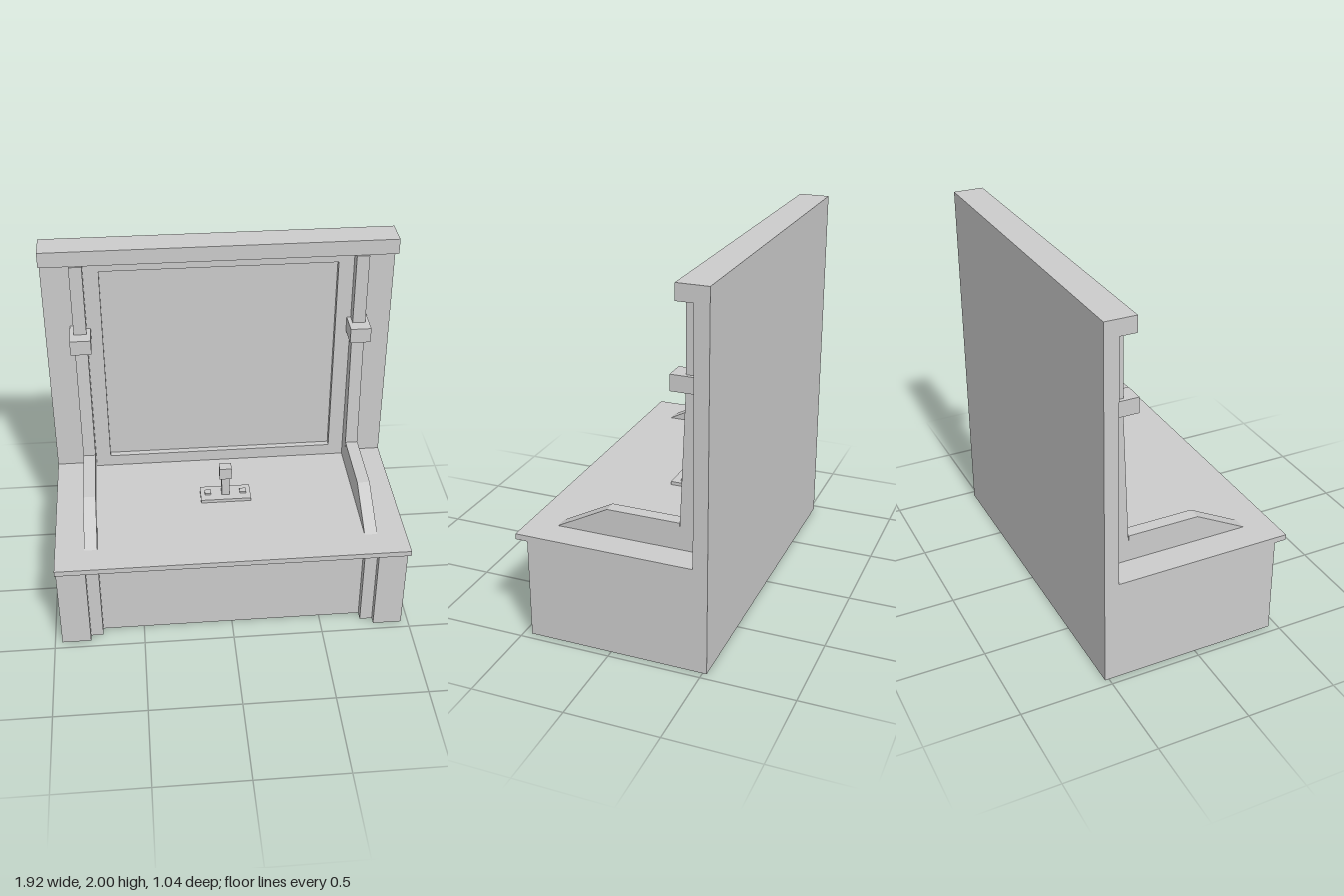
import * as THREE from 'three';

export function createModel() {
  const model = new THREE.Group();
  const mat = new THREE.MeshStandardMaterial({ color: 0xcccccc, flatShading: true });

  const add = (name, geo) => {
    const mesh = new THREE.Mesh(geo, mat);
    mesh.name = name;
    model.add(mesh);
  };

  // Box given by its limits on each axis
  const box = (name, [x0, x1], [y0, y1], [z0, z1]) => {
    const geo = new THREE.BoxGeometry(x1 - x0, y1 - y0, z1 - z0);
    add(name, geo.translate((x0 + x1) / 2, (y0 + y1) / 2, (z0 + z1) / 2));
  };

  const outline = (pts) => new THREE.Shape(pts.map(([a, b]) => new THREE.Vector2(a, b)));

  // Front-facing outline extruded from z0 to z1
  const slab = (name, shape, z0, z1) =>
    add(name, new THREE.ExtrudeGeometry(shape, { depth: z1 - z0, bevelEnabled: false }).translate(0, 0, z0));

  // Side profile of [z, y] points extruded along x around a centre
  const profile = (name, pts, x, width) => {
    const geo = new THREE.ExtrudeGeometry(outline(pts), { depth: width, bevelEnabled: false });
    add(name, geo.translate(0, 0, -width / 2).rotateY(-Math.PI / 2).translate(x, 0, 0));
  };

  // Back wall, raised picture-frame border between the posts, and top cap
  box('backWall', [-0.96, 0.96], [0, 1.915], [-0.522, -0.445]);
  const border = outline([[-0.735, 0.578], [0.735, 0.578], [0.735, 1.915], [-0.735, 1.915]]);
  border.holes.push(outline([[-0.647, 0.645], [-0.647, 1.852], [0.647, 1.852], [0.647, 0.645]]));
  slab('wallFrame', border, -0.445, -0.41);
  box('topCap', [-0.96, 0.96], [1.915, 2], [-0.522, -0.355]);

  // Base cabinet: body, stepped front frame and corner pillars
  box('cabinetBody', [-0.96, 0.96], [0, 0.547], [-0.445, 0.365]);
  slab('cabinetFrame', outline([
    [-0.96, 0], [-0.731, 0], [-0.731, 0.468], [0.731, 0.468],
    [0.731, 0], [0.96, 0], [0.96, 0.547], [-0.96, 0.547],
  ]), 0.365, 0.415);
  box('counterTop', [-0.96, 0.96], [0.547, 0.578], [-0.445, 0.522]);

  for (const side of [-1, 1]) {
    const pillar = [0.8 * side, 0.96 * side].sort((a, b) => a - b);
    box('cornerPillar', pillar, [0, 0.547], [0.415, 0.456]);

    // Tapered wall post, its clamp block and the sloped counter rail
    const x = 0.766 * side;
    profile('wallPost', [
      [-0.445, 0.578], [-0.309, 0.578], [-0.345, 1.43], [-0.345, 1.915], [-0.445, 1.915],
    ], x, 0.07);
    box('postClamp', [x - 0.057, x + 0.057], [1.425, 1.51], [-0.445, -0.272]);
    profile('counterRail', [
      [-0.312, 0.578], [0.36, 0.578], [0.08, 0.725], [-0.312, 0.725],
    ], x, 0.07);

    box('tapButton', [0.1 * side - 0.018, 0.1 * side + 0.018], [0.597, 0.608], [-0.081, -0.046]);
  }

  // Tap in the middle of the counter
  box('tapPlate', [-0.142, 0.142], [0.578, 0.597], [-0.124, 0.002]);
  box('tapStem', [-0.022, 0.022], [0.597, 0.712], [-0.085, -0.041]);
  box('tapHead', [-0.034, 0.034], [0.712, 0.782], [-0.09, -0.033]);

  return model;
}
